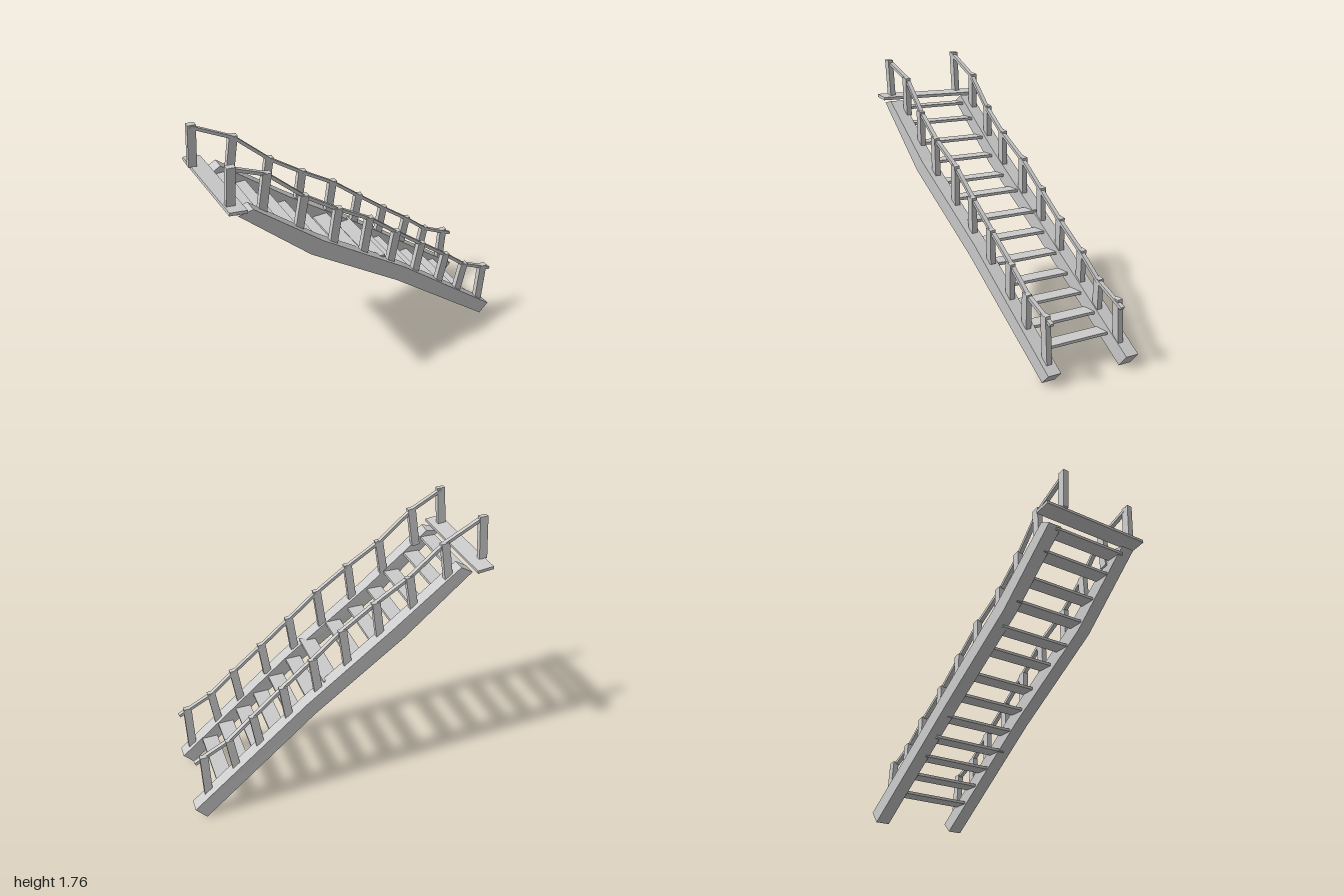
import * as THREE from 'three';

const V = (x, y, z) => new THREE.Vector3(x, y, z);

export function createModel() {
  const group = new THREE.Group();
  const mat = new THREE.MeshStandardMaterial({ color: 0xcccccc, flatShading: true });

  const add = (name, geo) => {
    const m = new THREE.Mesh(geo, mat);
    m.name = name;
    group.add(m);
    return m;
  };

  // box running from a to b; w is its size near x (or in the slope), d its size near z
  const beam = (name, a, b, w, d) => {
    const up = b.clone().sub(a);
    const m = add(name, new THREE.BoxGeometry(w, up.length(), d));
    const y = up.clone().normalize();
    const x = y.clone().cross(V(0, 0, 1)).normalize();
    const z = x.clone().cross(y);
    m.quaternion.setFromRotationMatrix(new THREE.Matrix4().makeBasis(x, y, z));
    m.position.copy(a).add(b).multiplyScalar(0.5);
  };

  // bent stringer: each station is [top x, top y, bottom x, bottom y, centre z]
  const stringer = (name, stations, w) => {
    const pos = [], idx = [];
    for (const [tx, ty, bx, by, z] of stations) {
      pos.push(tx, ty, z - w / 2, tx, ty, z + w / 2, bx, by, z + w / 2, bx, by, z - w / 2);
    }
    const last = (stations.length - 1) * 4;
    for (let s = 0; s < last; s += 4) {
      for (let k = 0; k < 4; k++) {
        const a = s + k, b = s + (k + 1) % 4;
        idx.push(a, b, b + 4, a, b + 4, a + 4);
      }
    }
    idx.push(0, 2, 1, 0, 3, 2, last, last + 1, last + 2, last, last + 2, last + 3);
    const g = new THREE.BufferGeometry();
    g.setAttribute('position', new THREE.Float32BufferAttribute(pos, 3));
    g.setIndex(idx);
    const flat = g.toNonIndexed();
    flat.computeVertexNormals();
    add(name, flat);
  };

  stringer('frontStringer', [
    [-0.82, 1.45, -0.91, 1.43, 0.32],
    [-0.39, 1.10, -0.47, 1.025, 0.30],
    [0.21, 0.68, 0.16, 0.59, 0.25],
    [0.965, 0.075, 0.90, 0.01, 0.19],
  ], 0.09);
  stringer('backStringer', [
    [-0.81, 1.455, -0.89, 1.41, -0.225],
    [-0.37, 1.11, -0.44, 1.025, -0.245],
    [0.22, 0.685, 0.17, 0.595, -0.285],
    [0.995, 0.08, 0.925, 0, -0.355],
  ], 0.09);

  // treads: [x, y]
  const treads = [
    [-0.83, 1.40], [-0.71, 1.305], [-0.57, 1.19], [-0.45, 1.08], [-0.31, 0.965],
    [-0.147, 0.89], [0.035, 0.782], [0.147, 0.67], [0.275, 0.56], [0.39, 0.452],
    [0.52, 0.36], [0.65, 0.27], [0.77, 0.175],
  ];
  treads.forEach(([x, y], i) => {
    const t = (x + 0.85) / 1.8;
    const skew = 0.004 * (i % 3 - 1);
    beam('tread', V(x - skew, y, -0.21 - 0.11 * t), V(x + skew, y, 0.30 - 0.10 * t), 0.018, 0.105);
  });
  // treads keep their flat side up
  group.children.filter(m => m.name === 'tread').forEach(m => {
    const { height } = m.geometry.parameters;
    m.geometry = new THREE.BoxGeometry(0.105, 0.018, height);
    m.rotation.set(0, 0, 0);
  });

  // wide top board, slightly crooked
  const board = add('topBoard', new THREE.BoxGeometry(0.108, 0.02, 0.75));
  board.position.set(-0.925, 1.465, 0.02);
  board.rotation.set(-0.012, 0.02, -0.12);

  // posts: [base x, base y, top x, top y, front z, back z]
  const posts = [
    [-0.74, 1.36, -0.705, 1.62, 0.29, -0.225],
    [-0.52, 1.18, -0.485, 1.42, 0.295, -0.22],
    [-0.30, 1.02, -0.27, 1.275, 0.30, -0.215],
    [-0.08, 0.85, -0.045, 1.13, 0.275, -0.235],
    [0.125, 0.73, 0.155, 0.965, 0.265, -0.25],
    [0.325, 0.58, 0.355, 0.805, 0.25, -0.262],
    [0.525, 0.41, 0.56, 0.645, 0.235, -0.285],
    [0.69, 0.27, 0.725, 0.505, 0.225, -0.297],
    [0.89, 0.12, 0.897, 0.425, 0.21, -0.31],
  ];
  const rows = {
    front: [[-0.935, 1.47, -0.92, 1.725, 0.32], ...posts.map(p => [...p.slice(0, 4), p[4]])],
    back: [[-0.97, 1.475, -0.957, 1.755, -0.21], ...posts.map(p => [...p.slice(0, 4), p[5]])],
  };
  for (const [side, row] of Object.entries(rows)) {
    for (const [bx, by, tx, ty, z] of row) {
      beam(side + 'Post', V(bx, by, z - 0.015), V(tx, ty, z + 0.005), 0.053, 0.036);
    }
    // thin rail segments from post to post, just below the post tops
    const pts = row.map(([, , tx, ty, z]) => V(tx, ty - 0.012, z + (side === 'back' ? 0.012 : 0)));
    pts[0].x -= 0.01;
    const end = pts[pts.length - 1];
    end.set(0.955, 0.38, end.z);
    for (let i = 0; i < pts.length - 1; i++) {
      beam(side + 'Rail', pts[i], pts[i + 1], 0.02, 0.028);
    }
  }
  return group;
}
